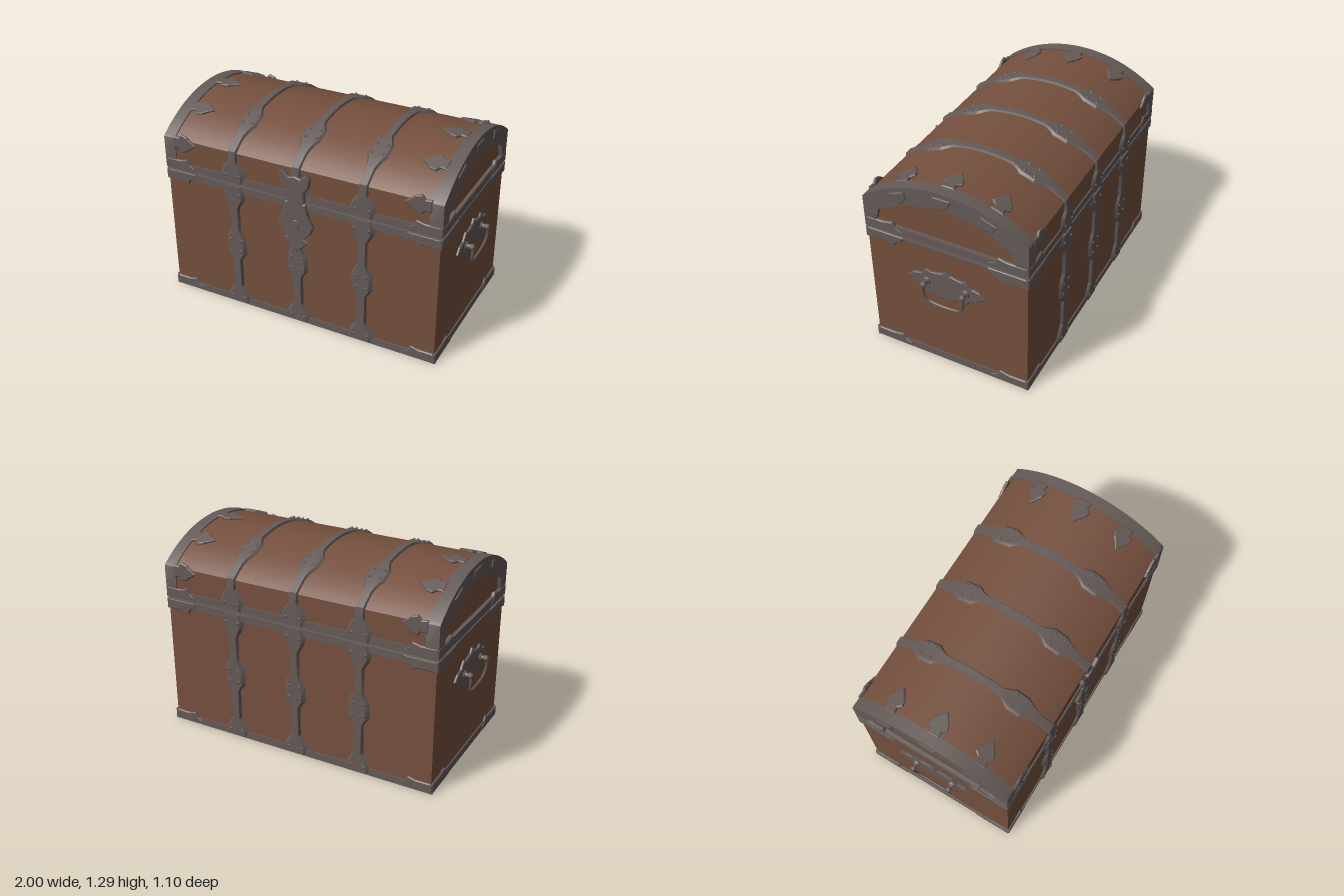
import * as THREE from 'three';
import { mergeGeometries, toCreasedNormals } from 'three/addons/utils/BufferGeometryUtils.js';

const HX = 0.93, HZ = 0.525;              // half length and half depth of the chest
const EDGE = 1.1, CY = 0.4244, R = 0.8556; // lid arc: spring height, centre, radius
const HALF = Math.asin(HZ / R);
const V = (x, y, z) => new THREE.Vector3(x, y, z);

export function createModel() {
  const wood = new THREE.MeshStandardMaterial({ color: 0x75503e });
  wood.name = 'brown wood';
  const iron = new THREE.MeshStandardMaterial({ color: 0x655b58 });
  iron.name = 'dark iron';

  const root = new THREE.Group();
  root.name = 'treasureChest';
  const add = (name, geo, mat = iron) => {
    const m = new THREE.Mesh(geo, mat);
    m.name = name;
    root.add(m);
    return m;
  };

  // Flat plate cut from an outline, centred on its thickness
  const plate = (pts, t) => {
    const g = new THREE.ExtrudeGeometry(new THREE.Shape(pts.map(p => new THREE.Vector2(...p))),
      { depth: t * 0.5, bevelEnabled: true, bevelSize: 0.006, bevelThickness: t * 0.25, bevelOffset: -0.006, bevelSegments: 1 });
    return g.translate(0, 0, -t * 0.25);
  };
  const mirrorY = half => [...half, ...half.slice().reverse().filter(p => p[1] !== 0).map(([x, y]) => [x, -y])];
  const mirrorX = half => [...half, ...half.slice().reverse().filter(p => p[0] !== 0).map(([x, y]) => [-x, y])];
  const place = (geo, pos, xd, yd) => {
    const m = new THREE.Matrix4().makeBasis(xd, yd, xd.clone().cross(yd)).setPosition(pos);
    return geo.clone().applyMatrix4(m);
  };
  const box = (w, h, d, x, y, z) => new THREE.BoxGeometry(w, h, d).translate(x, y, z);

  // Wooden body and domed lid
  add('body', box(HX * 2 - 0.01, 0.87, HZ * 2, 0, 0.442, 0), wood);
  const lidShape = o => {
    const s = new THREE.Shape();
    s.moveTo(-HZ - o, 0.892);
    s.lineTo(-HZ - o, EDGE);
    s.absarc(0, CY, R + o, Math.PI / 2 + HALF, Math.PI / 2 - HALF, true);
    s.lineTo(HZ + o, EDGE);
    s.lineTo(HZ + o, 0.892);
    return s;
  };
  const alongX = (shape, x0, x1) => new THREE.ExtrudeGeometry(shape, { depth: x1 - x0, bevelEnabled: false, curveSegments: 24 })
    .translate(0, 0, x0).rotateY(Math.PI / 2);
  add('lid', toCreasedNormals(alongX(lidShape(0), -0.912, 0.912), 1), wood);

  // Arched iron frames on the lid ends
  const frame = lidShape(0.008);
  frame.holes.push(new THREE.Path([[-0.455, 0.945], [0.455, 0.945], [0.43, 1.04], [0.27, 1.13], [0, 1.19], [-0.27, 1.13], [-0.43, 1.04]]
    .map(p => new THREE.Vector2(...p))));
  add('lidEndFrameLeft', toCreasedNormals(alongX(frame, 0.855, 0.935), 0.5));
  add('lidEndFrameRight', toCreasedNormals(alongX(frame, -0.935, -0.855), 0.5));

  // Leaf tips reaching in over the lid, and tabs hanging on its ends
  const leaf = plate(mirrorY([[0, 0.04], [0.04, 0.035], [0.06, 0.062], [0.1, 0.05], [0.115, 0.036], [0.165, 0]]), 0.02);
  const tab = plate(mirrorY([[0, 0.055], [0.05, 0.045], [0.075, 0]]), 0.014);
  const leaves = [], tabs = [];
  for (const s of [1, -1]) {
    for (const z of [-0.3, 0, 0.3]) {
      const a = Math.asin(z / R), n = V(0, Math.cos(a), Math.sin(a)), t = V(0, -Math.sin(a), Math.cos(a));
      leaves.push(place(leaf, V(s * 0.865, CY, 0).addScaledVector(n, R + 0.004), V(-s, 0, 0), t));
      tabs.push(place(tab, V(s * 0.937, CY, 0).addScaledVector(n, R - 0.02), n.clone().negate(), t));
    }
    for (const f of [1, -1]) leaves.push(place(leaf, V(s * 0.865, 1.08, f * (HZ + 0.003)), V(-s, 0, 0), V(0, 1, 0)));
  }
  add('lidLeaves', mergeGeometries(leaves));
  add('lidEndTabs', mergeGeometries(tabs));

  // Horizontal rims with flared corner pieces: [name, edge height, direction, front bar, side bar]
  const corner = L => plate([[0, 0], [L, 0], [L * 0.97, 0.03], [L * 0.82, 0.048], [L * 0.74, 0.08], [L * 0.5, 0.066], [0, 0.068]], 0.026);
  const cornerX = corner(0.22), cornerZ = corner(0.26);
  for (const [name, y, d, hf, hs] of [['bottomRim', 0, 1, 0.048, 0.052], ['bodyTopRim', 0.88, -1, 0.045, 0.018], ['lidRim', 0.892, 1, 0.05, 0.056]]) {
    const parts = [], corners = [];
    for (const s of [1, -1]) {
      parts.push(box(HX * 2, hf, 0.024, 0, y + d * hf / 2, s * (HZ - 0.004)));
      parts.push(box(0.024, hs, HZ * 2, s * (HX - 0.009), y + d * hs / 2, 0));
      for (const f of [1, -1]) {
        corners.push(place(cornerX, V(s * 0.937, y, f * (HZ - 0.002)), V(-s, 0, 0), V(0, d, 0)));
        corners.push(place(cornerZ, V(s * (HX - 0.005), y, f * 0.535), V(0, 0, -f), V(0, d, 0)));
      }
    }
    add(name, mergeGeometries(parts));
    add(name + 'Corners', mergeGeometries(corners));
  }

  // Triangular corner plates under the chest
  const foot = plate([[0, 0], [0.22, 0], [0.13, 0.07], [0.07, 0.12], [0, 0.2]], 0.012);
  const feet = [];
  for (const s of [1, -1]) for (const f of [1, -1]) {
    feet.push(place(foot, V(s * 0.93, 0.006, f * 0.525), V(-s, 0, 0), V(0, 0, -f)));
  }
  add('bottomCornerPlates', mergeGeometries(feet));

  // Straps: bevelled ribbons of changing width; station = [position, normal, width]
  const ribbon = stations => {
    const pos = [], idx = [];
    for (const [p, n, w] of stations) {
      for (const [x, h] of [[-0.5, -0.004], [-0.36, 0.014], [0.36, 0.014], [0.5, -0.004]]) {
        pos.push(x * w, p.y + n.y * h, p.z + n.z * h);
      }
    }
    const quad = (a, b, c, d) => idx.push(a, b, c, a, c, d);
    for (let i = 0; i < stations.length - 1; i++) {
      for (let k = 0; k < 3; k++) quad(i * 4 + k, i * 4 + k + 1, i * 4 + k + 5, i * 4 + k + 4);
    }
    const e = (stations.length - 1) * 4;
    quad(0, 3, 2, 1);
    quad(e, e + 1, e + 2, e + 3);
    const g = new THREE.BufferGeometry();
    g.setAttribute('position', new THREE.Float32BufferAttribute(pos, 3));
    g.setIndex(idx);
    return toCreasedNormals(g, 0.4);
  };
  const bodyStrap = ribbon([[0.01, 0.15], [0.05, 0.17], [0.09, 0.135], [0.14, 0.066], [0.34, 0.066], [0.39, 0.14], [0.5, 0.14],
    [0.56, 0.066], [0.72, 0.066], [0.78, 0.14], [0.83, 0.16], [0.875, 0.13]].map(([y, w]) => [V(0, y, HZ + 0.004), V(0, 0, 1), w]));
  const rise = [[0.9, 0.14], [0.95, 0.17], [1.0, 0.135], [1.04, 0.066]].map(([y, w]) => [V(0, y, HZ + 0.004), V(0, 0, 1), w]);
  const over = [[HZ, 0.066], [0.43, 0.066], [0.38, 0.1], [0.345, 0.145], [0.26, 0.145], [0.22, 0.09], [0.19, 0.06], [0.09, 0.06]].map(([z, w]) => {
    const a = Math.asin(z / R), n = V(0, Math.cos(a), Math.sin(a));
    return [V(0, CY + R * n.y, R * n.z), n, w];
  });
  const flip = v => V(v.x, v.y, -v.z);
  const half = [...rise, ...over];
  const lidStrap = ribbon([...half, [V(0, CY + R, 0), V(0, 1, 0), 0.06], ...half.slice().reverse().map(([p, n, w]) => [flip(p), flip(n), w])]);

  // Rivets on the widened parts of the straps
  const stud = new THREE.SphereGeometry(0.011, 6, 4);
  const studs = [];
  for (const f of [1, -1]) {
    for (const [y, dx] of [[0.05, 0.045], [0.41, 0.035], [0.49, 0.035], [0.82, 0.045], [0.95, 0.045]]) {
      for (const s of [1, -1]) studs.push(stud.clone().translate(s * dx, y, f * (HZ + 0.016)));
    }
    for (const z of [0.27, 0.335]) for (const s of [1, -1]) {
      studs.push(stud.clone().translate(s * 0.035, CY + Math.sqrt(R * R - z * z) + 0.012, f * (z + 0.004)));
    }
  }
  const studSet = mergeGeometries(studs);
  for (const [i, x] of [-0.44, 0, 0.44].entries()) {
    add('frontStrap' + i, bodyStrap).position.x = x;
    const back = add('backStrap' + i, bodyStrap);
    back.position.x = x;
    back.rotation.y = Math.PI;
    add('lidStrap' + i, lidStrap).position.x = x;
    add('strapRivets' + i, studSet).position.x = x;
  }

  // Lock: hasp on the lid, pointed plate on the body
  const hasp = mirrorX([[0, 1.06], [0.04, 1.05], [0.085, 1.09], [0.105, 1.06], [0.095, 1.0], [0.065, 0.96], [0.065, 0.89], [0.04, 0.875], [0, 0.87]]);
  add('lockHasp', plate(hasp, 0.03).translate(0, 0, HZ + 0.014));
  const lock = mirrorX([[0, 0.89], [0.07, 0.88], [0.085, 0.8], [0.12, 0.73], [0.1, 0.68], [0.055, 0.635], [0.085, 0.615], [0.04, 0.565], [0, 0.535]]);
  add('lockPlate', plate(lock, 0.03).translate(0, 0, HZ + 0.008));
  add('lockBoss', new THREE.CylinderGeometry(0.028, 0.036, 0.012, 8).rotateX(Math.PI / 2).translate(0, 0.73, HZ + 0.022));

  // Side handles: pointed back plate, two posts with knobs, hanging bail
  const backPlate = plate(mirrorX([[0, 0.12], [0.025, 0.09], [0.1, 0.075], [0.13, 0.09], [0.17, 0.045], [0.22, 0.035], [0.26, 0],
    [0.21, -0.04], [0.16, -0.055], [0.12, -0.105], [0.07, -0.085], [0.03, -0.11], [0, -0.1]]), 0.02);
  const bail = new THREE.TubeGeometry(new THREE.CatmullRomCurve3([V(0.985, 0.615, 0.13), V(0.985, 0.56, 0.132), V(0.975, 0.505, 0.11),
    V(0.972, 0.488, 0.05), V(0.972, 0.486, 0), V(0.972, 0.488, -0.05), V(0.975, 0.505, -0.11), V(0.985, 0.56, -0.132), V(0.985, 0.615, -0.13)]), 32, 0.009, 6);
  for (const [side, name] of [[0, 'left'], [Math.PI, 'right']]) {
    const g = new THREE.Group();
    g.name = name + 'Handle';
    const put = (n, geo) => {
      const m = new THREE.Mesh(geo, iron);
      m.name = n;
      g.add(m);
    };
    put('handlePlate', place(backPlate, V(0.93, 0.62, 0), V(0, 0, -1), V(0, 1, 0)));
    put('handleBail', bail);
    for (const z of [0.13, -0.13]) {
      put('handlePost', new THREE.CylinderGeometry(0.012, 0.018, 0.07, 8).rotateZ(-Math.PI / 2).translate(0.96, 0.62, z));
      put('handleKnob', new THREE.SphereGeometry(0.02, 8, 6).translate(0.98, 0.62, z));
      put('handleCollar', new THREE.CylinderGeometry(0.022, 0.028, 0.012, 8).rotateZ(-Math.PI / 2).translate(0.945, 0.62, z));
    }
    g.rotation.y = side;
    root.add(g);
  }

  const model = new THREE.Group();
  model.name = 'chest';
  root.position.x = -0.005;
  model.add(root);
  return model;
}
